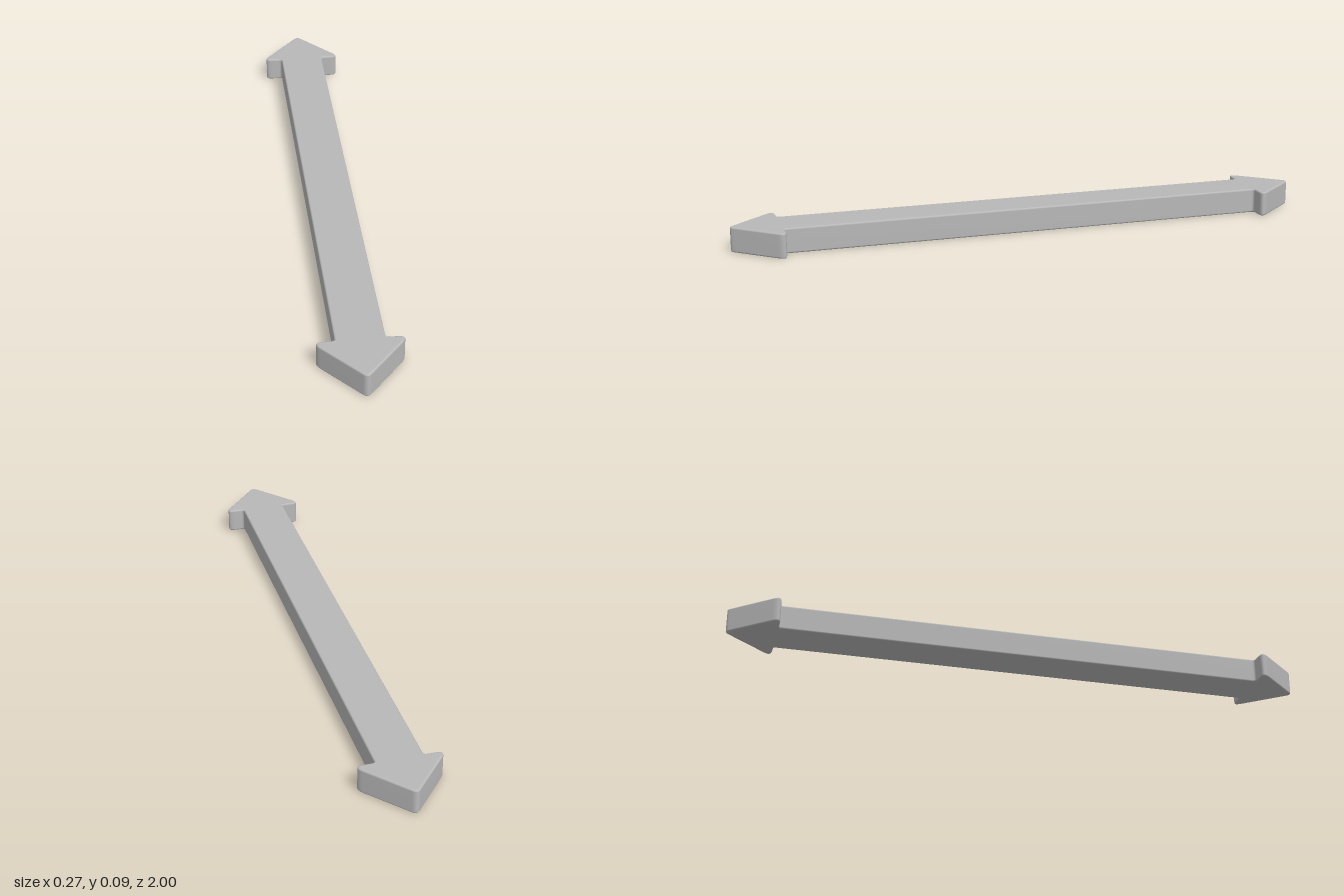
import * as THREE from 'three';
import { mergeVertices } from 'three/addons/utils/BufferGeometryUtils.js';

const HEIGHT = 0.085;
const BEVEL = 0.006;

// Closed outline whose corners [x, y, cut] are rounded by cutting back along both edges
function roundedOutline(corners) {
  const shape = new THREE.Shape();
  const n = corners.length;
  const point = (i) => new THREE.Vector2(corners[(i + n) % n][0], corners[(i + n) % n][1]);
  for (let i = 0; i < n; i++) {
    const c = point(i), cut = corners[i][2];
    const a = point(i - 1).sub(c).setLength(cut).add(c);
    const b = point(i + 1).sub(c).setLength(cut).add(c);
    if (i === 0) shape.moveTo(a.x, a.y);
    else shape.lineTo(a.x, a.y);
    shape.quadraticCurveTo(c.x, c.y, b.x, b.y);
  }
  shape.closePath();
  return shape;
}

export function createModel() {
  const group = new THREE.Group();
  group.name = 'doubleArrow';
  const grey = new THREE.MeshStandardMaterial({ color: 0xb8b8b8 });
  grey.name = 'grey';

  // One quarter of the outline: tip, wing corner, inner corner; mirrored for the rest
  const tip = [0, 1.007, 0.02], wing = [0.15, 0.835, 0.04], inner = [0.077, 0.835, 0.01];
  const at = ([x, y, cut], sx, sy) => [x * sx, y * sy, cut];
  const corners = [
    at(tip, 1, -1), at(wing, 1, -1), at(inner, 1, -1),
    at(inner, 1, 1), at(wing, 1, 1), at(tip, 1, 1),
    at(wing, -1, 1), at(inner, -1, 1),
    at(inner, -1, -1), at(wing, -1, -1),
  ];

  // Solid with softly rounded edges, laid flat
  let geometry = new THREE.ExtrudeGeometry(roundedOutline(corners), {
    depth: HEIGHT - 2 * BEVEL,
    bevelEnabled: true,
    bevelThickness: BEVEL,
    bevelSize: BEVEL,
    bevelOffset: -BEVEL,
    bevelSegments: 4,
    curveSegments: 8,
  });
  geometry.rotateX(-Math.PI / 2);
  geometry.translate(0, BEVEL, 0);

  // Shared vertices give smooth edges while the large faces stay flat
  geometry.deleteAttribute('uv');
  geometry.deleteAttribute('normal');
  geometry = mergeVertices(geometry, 1e-5);
  geometry.computeVertexNormals();

  const arrow = new THREE.Mesh(geometry, grey);
  arrow.name = 'arrowBody';
  group.add(arrow);
  return group;
}
